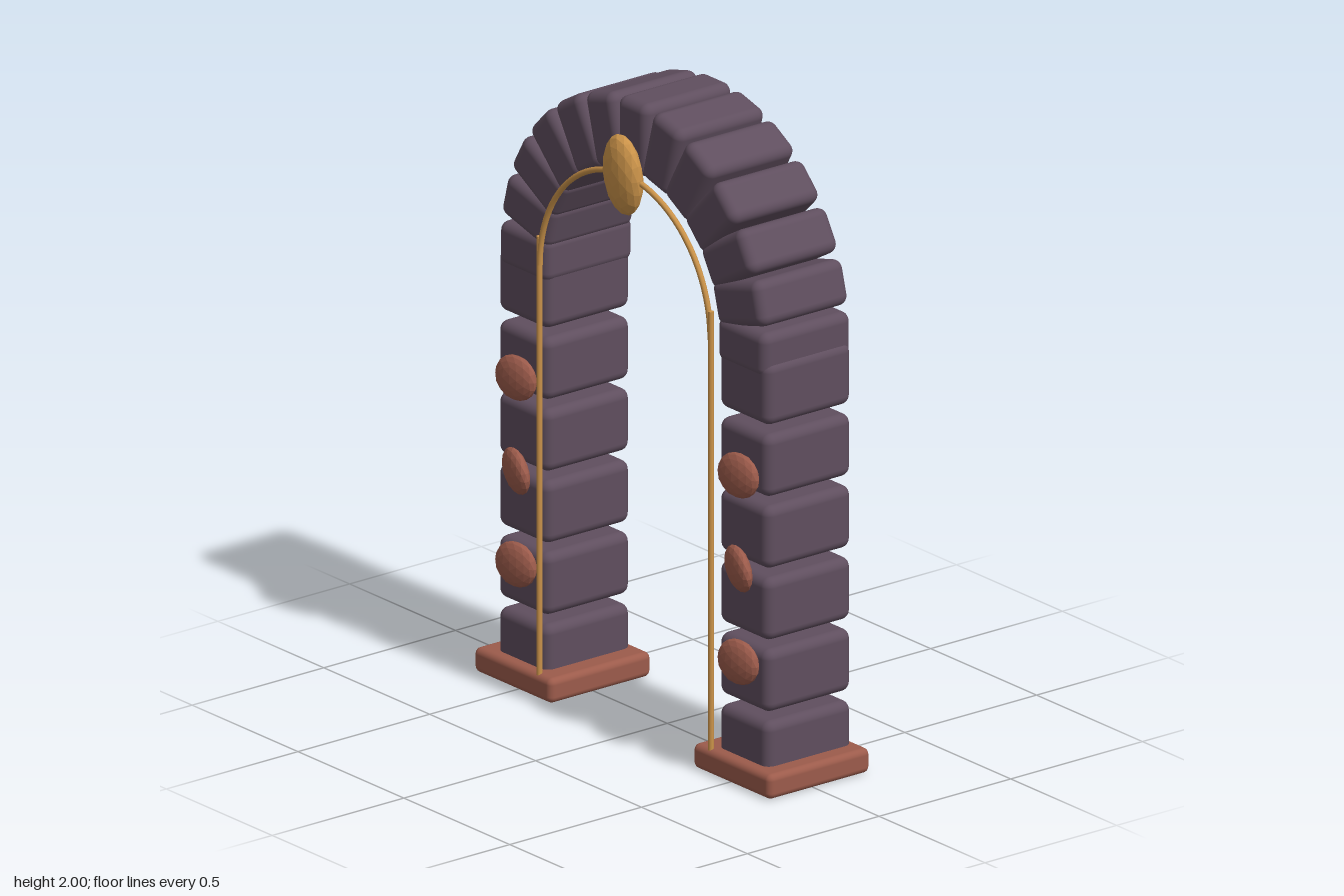
import * as THREE from 'three';
import { RoundedBoxGeometry } from 'three/addons/geometries/RoundedBoxGeometry.js';

const stone = new THREE.MeshStandardMaterial({ color: 0x5f4e5e });
stone.name = 'dusky stone';
const clay = new THREE.MeshStandardMaterial({ color: 0x9c5b4b });
clay.name = 'red clay';
const gold = new THREE.MeshStandardMaterial({ color: 0xcc944a });
gold.name = 'warm gold';

const SPRING_Y = 1.37; // height where the arch begins
const ARCH_R = 0.515; // radius through the middle of the arch stones
const TRIM_R = 0.405;
const TRIM_Z = 0.16;

function add(parent, name, geometry, material, x, y, z) {
  const mesh = new THREE.Mesh(geometry, material);
  mesh.name = name;
  mesh.position.set(x, y, z);
  parent.add(mesh);
  return mesh;
}

// Faceted ellipsoid with flat normals
function facetedStone(rx, ry, rz) {
  const g = new THREE.IcosahedronGeometry(1, 2);
  g.scale(rx, ry, rz);
  g.computeVertexNormals();
  return g;
}

export function createModel() {
  const model = new THREE.Group();
  model.name = 'stoneArch';

  const baseGeo = new RoundedBoxGeometry(0.366, 0.078, 0.386, 3, 0.02);
  const blockGeo = new RoundedBoxGeometry(0.236, 0.197, 0.325, 4, 0.03);
  const archGeo = new RoundedBoxGeometry(0.14, 0.23, 0.337, 4, 0.03);
  const studGeo = facetedStone(0.085, 0.07, 0.03);

  // Pillars: base slab, stacked blocks and clay studs
  for (const side of [-1, 1]) {
    const pillar = new THREE.Group();
    pillar.name = side > 0 ? 'leftPillar' : 'rightPillar';
    model.add(pillar);
    add(pillar, 'baseSlab', baseGeo, clay, side * 0.517, 0.039, -0.018);
    for (let i = 0; i < 6; i++) {
      add(pillar, 'pillarBlock', blockGeo, stone, side * 0.522, 0.117 + i * 0.2267, -0.028);
    }
    for (let i = 0; i < 3; i++) {
      const stud = add(pillar, 'clayStud', studGeo, clay, side * 0.525, 0.385 + i * 0.295, 0.152);
      if (i === 1) stud.rotation.set(0.1, -0.3, -0.06);
      else stud.rotation.set(-0.05, 0.08, 0.06);
    }
  }

  // Ring of thirteen wedge stones
  const arch = new THREE.Group();
  arch.name = 'archRing';
  model.add(arch);
  for (let i = 0; i <= 12; i++) {
    const a = (i * Math.PI) / 12;
    const block = add(arch, 'archStone', archGeo, stone,
      Math.cos(a) * ARCH_R, SPRING_Y + Math.sin(a) * ARCH_R, -0.029);
    block.rotation.z = a - Math.PI / 2;
  }

  // Gold trim along the opening
  const trim = new THREE.Group();
  trim.name = 'goldTrim';
  model.add(trim);
  const legGeo = new THREE.CylinderGeometry(0.009, 0.009, 1.39, 8);
  for (const side of [-1, 1]) add(trim, 'trimLeg', legGeo, gold, side * TRIM_R, 0.765, TRIM_Z);
  add(trim, 'trimArc', new THREE.TorusGeometry(TRIM_R - 0.002, 0.009, 8, 40, Math.PI), gold,
    0, SPRING_Y, TRIM_Z);

  // Faceted keystone gem
  const gem = add(model, 'keystoneGem', facetedStone(0.08, 0.13, 0.043), gold, 0, 1.775, 0.168);
  gem.rotation.x = 0.08;

  return model;
}
